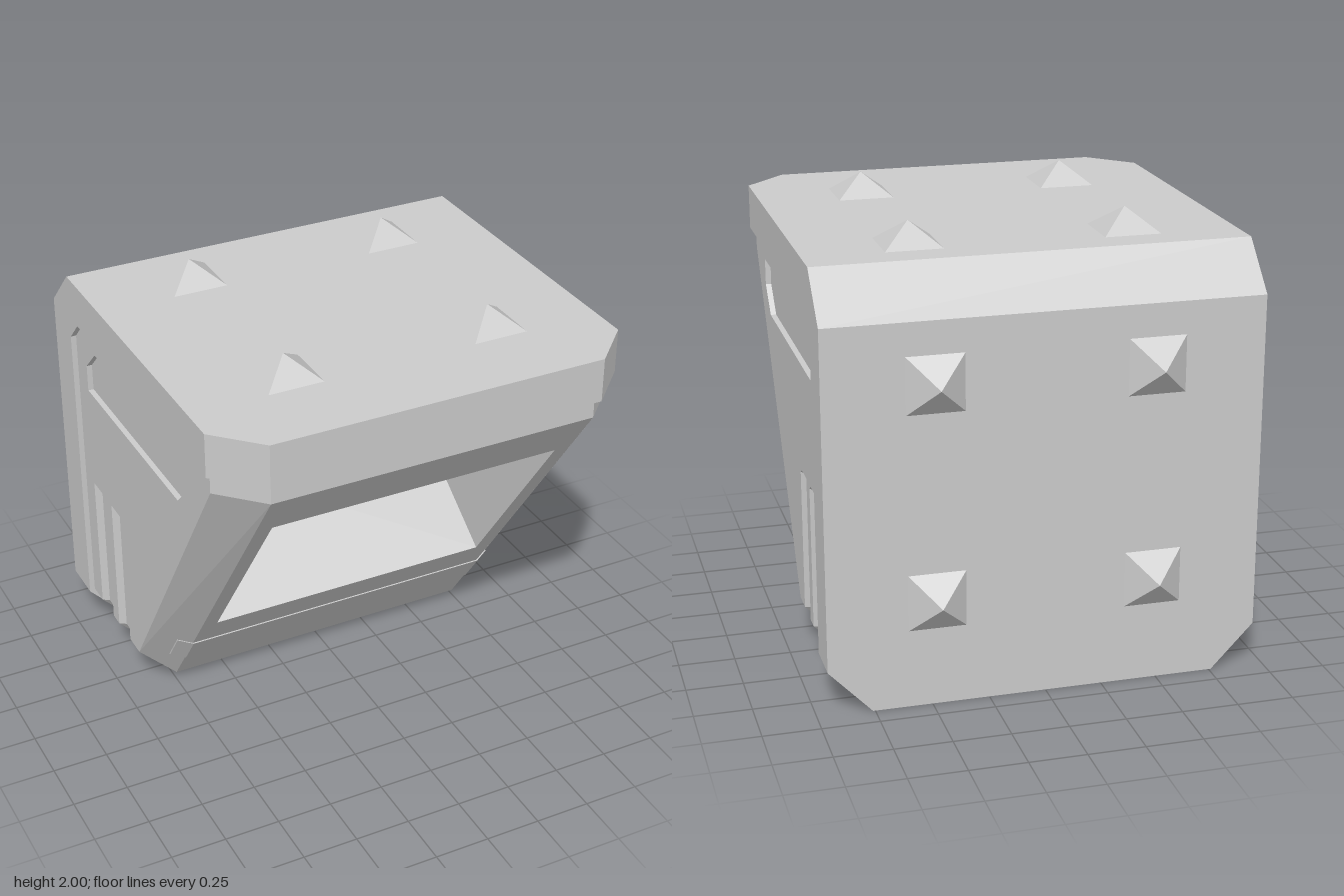
import * as THREE from 'three';

const solid = new THREE.MeshStandardMaterial({ color: 0xcccccc, flatShading: true });
const skin = new THREE.MeshStandardMaterial({ color: 0xcccccc, flatShading: true, side: THREE.DoubleSide });

const shapeOf = (pts) => new THREE.Shape(pts.map(([a, b]) => new THREE.Vector2(a, b)));
const extrude = (pts, depth) => new THREE.ExtrudeGeometry(shapeOf(pts), { depth, bevelEnabled: false });

// Flat-shaded skin through rows of [x, y, z] points
function loft(rows) {
  const n = rows[0].length;
  const index = [];
  for (let r = 0; r < rows.length - 1; r++) {
    for (let c = 0; c < n - 1; c++) {
      const a = r * n + c;
      index.push(a, a + 1, a + n, a + 1, a + n + 1, a + n);
    }
  }
  const indexed = new THREE.BufferGeometry();
  indexed.setAttribute('position', new THREE.Float32BufferAttribute(rows.flat(2), 3));
  indexed.setIndex(index);
  const g = indexed.toNonIndexed();
  g.computeVertexNormals();
  return g;
}

// [z, y] profile extruded symmetrically across x
const across = (pts, width) => extrude(pts, width).translate(0, 0, -width / 2).rotateY(-Math.PI / 2);
// Flat [z, y] sheet placed at x
const sheet = (shape, x) => new THREE.ShapeGeometry(shape).rotateY(-Math.PI / 2).translate(x, 0, 0);

// Sloped front surface, falling away over the corner chamfers
const frontZ = (x, y) => -0.13 + 0.696 * (y - 0.03 - Math.max(0, Math.abs(x) - 0.745));

export function createModel() {
  const model = new THREE.Group();
  const add = (name, geometry, material = solid, parent = model) => {
    const mesh = new THREE.Mesh(geometry, material);
    mesh.name = name;
    parent.add(mesh);
    return mesh;
  };

  // Thick top and back plates with chamfered corners
  add('topPlate', extrude([
    [-0.95, -0.7], [0.95, -0.7], [0.95, 0.81], [0.76, 1], [-0.76, 1], [-0.95, 0.81],
  ], 0.2).rotateX(Math.PI / 2).translate(0, 1.9, 0));
  add('backPlate', extrude([
    [-0.76, 0], [0.76, 0], [0.95, 0.2], [0.95, 1.7], [-0.95, 1.7], [-0.95, 0.2],
  ], 0.2).translate(0, 0, -0.9));
  add('plateBevel', across([[-0.9, 1.7], [-0.7, 1.7], [-0.7, 1.9]], 1.9));
  add('plateFillet', across([[-0.7, 1.6], [-0.6, 1.7], [-0.7, 1.7]], 1.9));

  // Pyramid studs on the top and back
  for (const x of [-0.475, 0.475]) {
    const pyramid = () => new THREE.ConeGeometry(0.125 * Math.SQRT2, 0.1, 4).rotateY(Math.PI / 4);
    for (const z of [-0.43, 0.525]) add('topStud', pyramid().translate(x, 1.95, z));
    for (const y of [0.475, 1.43]) add('backStud', pyramid().rotateX(-Math.PI / 2).translate(x, y, -0.95));
  }

  // Sloped front with a rectangular opening
  const front = shapeOf([[-0.745, 0.03], [0.745, 0.03], [0.745, 1.61], [-0.745, 1.61]]);
  front.holes.push(shapeOf([[-0.67, 0.515], [-0.67, 1.385], [0.67, 1.385], [0.67, 0.515]]));
  const frontGeo = new THREE.ShapeGeometry(front);
  const fp = frontGeo.attributes.position;
  for (let i = 0; i < fp.count; i++) fp.setZ(i, frontZ(fp.getX(i), fp.getY(i)));
  frontGeo.computeVertexNormals();
  add('frontFace', frontGeo, skin);

  // Deep pocket behind the opening, cut square to the slope
  const pocket = [
    [frontZ(0, 0.515), 0.515], [-0.53, 1.03], [-0.59, 1.09], [-0.2, 1.65], [0.43, 1.65], [frontZ(0, 1.385), 1.385],
  ];
  add('pocketLining', loft(pocket.map(([z, y]) => [[-0.67, y, z], [0.67, y, z]])), skin);
  for (const x of [-0.67, 0.67]) add('pocketSide', sheet(shapeOf(pocket), x), skin);

  // Collar under the top plate and the floor between the grooves
  const collar = [[-0.925, 0.79], [-0.745, 0.97], [0.745, 0.97], [0.925, 0.79]];
  add('collar', loft([1.61, 1.7].map((y) => collar.map(([x, z]) => [x, y, z]))), skin);
  add('floor', loft([-0.7, -0.13].map((z) => [[-0.3, 0.03, z], [0.3, 0.03, z]])), skin);

  // Thin strip wrapping the lower front
  const strip = [
    [[-0.81, 0.22], [-0.745, 0.2], [-0.745, 0.35], [-0.81, 0.37]],
    [[-0.745, 0.2], [0.745, 0.2], [0.745, 0.35], [-0.745, 0.35]],
    [[0.745, 0.2], [0.81, 0.22], [0.81, 0.37], [0.745, 0.35]],
  ];
  for (const pts of strip) {
    const g = extrude(pts, 0.02);
    const p = g.attributes.position;
    for (let i = 0; i < p.count; i++) p.setZ(i, p.getZ(i) - 0.012 + frontZ(p.getX(i), p.getY(i)));
    g.computeVertexNormals();
    add('frontStrip', g);
  }

  const grooves = [[-0.24, -0.38], [-0.45, -0.595]];
  const panel = [[0.555, 1.61], [-0.47, 1.61], [-0.585, 1.5], [-0.585, 1.375], [0.44, 1.375], [0.555, 1.49]];

  for (const s of [-1, 1]) {
    const side = new THREE.Group();
    side.name = s > 0 ? 'leftSide' : 'rightSide';
    model.add(side);

    // Side wall, notched for the grooves and pierced for the panel
    const outline = [[0.79, 1.7], [0.79, 1.61], [-0.13, 0.21]];
    for (const [a, b] of grooves) outline.push([a, 0.21], [a, 0.875], [b, 0.875], [b, 0.21]);
    outline.push([-0.7, 0.21], [-0.7, 1.7]);
    const wall = shapeOf(outline);
    wall.holes.push(shapeOf(panel));
    add('sideWall', sheet(wall, s * 0.925), skin, side);

    // Recessed side panel
    add('panelFloor', sheet(shapeOf(panel), s * 0.9), skin, side);
    add('panelRim', loft([...panel, panel[0]].map(([z, y]) => [[s * 0.9, y, z], [s * 0.925, y, z]])), skin, side);

    // Front corner chamfer
    add('frontChamfer', loft([
      [[s * 0.745, 0.03, -0.13], [s * 0.925, 0.21, -0.13]],
      [[s * 0.745, 1.61, 0.97], [s * 0.925, 1.61, 0.79]],
    ]), skin, side);

    // Lower chamfer and underside between the grooves
    const lower = [[0.925, 0.21], [0.745, 0.03], [0.3, 0.03]];
    for (const [a, b] of [[-0.13, -0.24], [-0.38, -0.45], [-0.595, -0.7]]) {
      add('underside', loft(lower.map(([x, y]) => [[s * x, y, a], [s * x, y, b]])), skin, side);
    }

    // Grooves running down the wall, round the chamfer and underneath
    const outer = [[0.925, 0.875], [0.925, 0.855], [0.925, 0.21], [0.745, 0.03], [0.32, 0.03], [0.3, 0.03]];
    const inner = [[0.925, 0.875], [0.9, 0.855], [0.9, 0.22], [0.735, 0.055], [0.32, 0.055], [0.3, 0.03]];
    for (const [a, b] of grooves) {
      add('groove', loft(outer.map(([x, y], i) => {
        const [u, v] = inner[i];
        return [[s * x, y, a], [s * u, v, a - 0.033], [s * u, v, b + 0.033], [s * x, y, b]];
      })), skin, side);
    }
  }
  return model;
}
